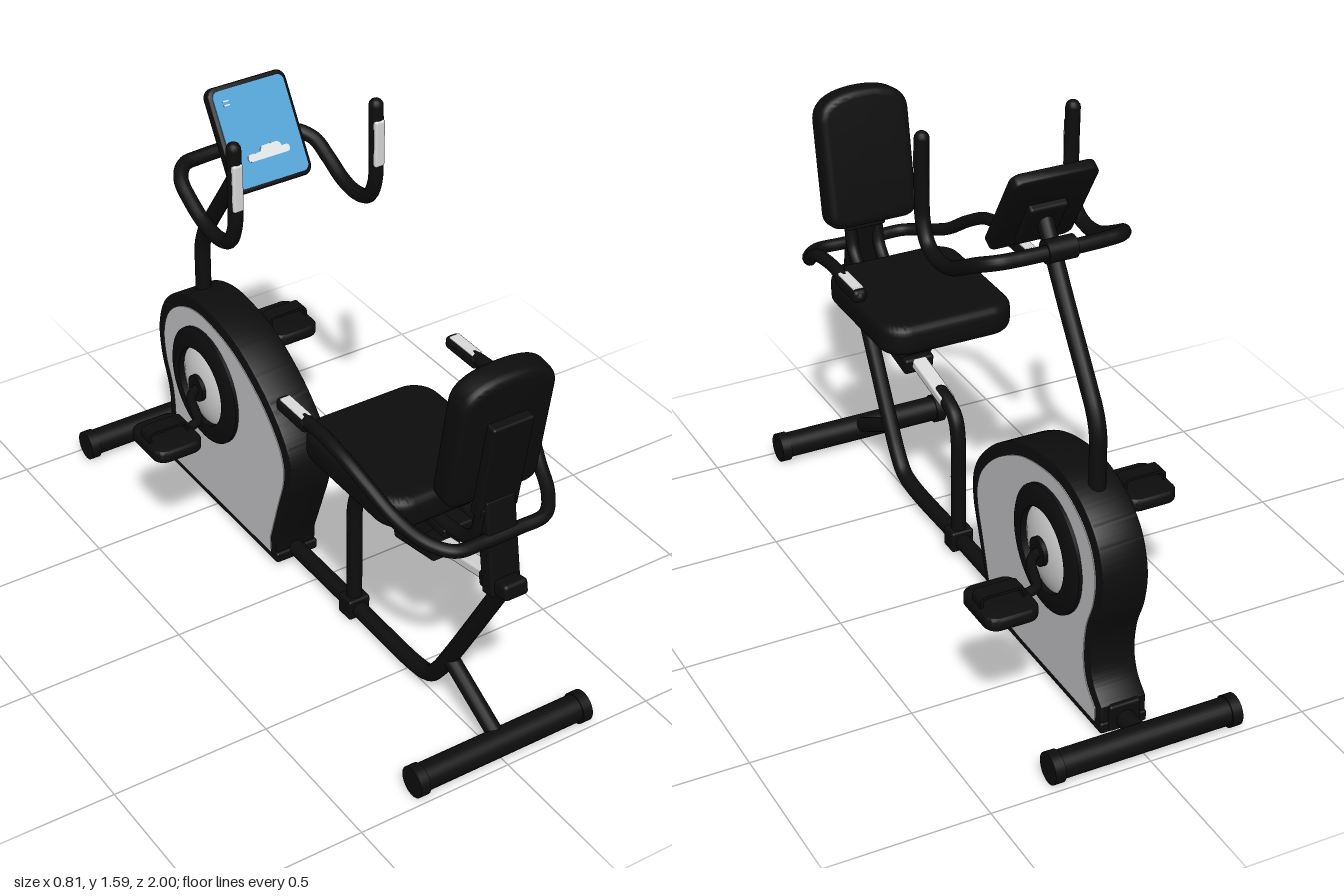
import * as THREE from 'three';
import { toCreasedNormals } from 'three/addons/utils/BufferGeometryUtils.js';
import { RoundedBoxGeometry } from 'three/addons/geometries/RoundedBoxGeometry.js';

const paint = (name, color) => {
  const m = new THREE.MeshStandardMaterial({ color });
  m.name = name;
  return m;
};

export function createModel() {
  const model = new THREE.Group();
  model.name = 'recumbentExerciseBike';
  const black = paint('black', 0x0d0d0d);
  const grey = paint('panelGrey', 0xcbcbce);
  const silver = paint('silver', 0xdcdcdc);
  const blue = paint('screenBlue', 0x52a3d6);
  const white = paint('white', 0xe4e8ea);

  const add = (name, geo, mat, pos = [0, 0, 0], parent = model) => {
    const m = new THREE.Mesh(geo, mat);
    m.name = name;
    m.position.set(...pos);
    parent.add(m);
    return m;
  };
  const box = (name, size, pos, mat = black, r = 0.008, parent = model) =>
    add(name, new RoundedBoxGeometry(...size, 3, r), mat, pos, parent);
  // Cylinder lying along x
  const bar = (name, r, length, pos, parent = model) =>
    add(name, new THREE.CylinderGeometry(r, r, length, 28).rotateZ(Math.PI / 2), black, pos, parent);
  // Round tube through points, with domed ends
  const tube = (name, pts, r, mat = black, parent = model) => {
    const g = new THREE.Group();
    g.name = name;
    parent.add(g);
    const v = pts.map(p => new THREE.Vector3(...p));
    const curve = new THREE.CatmullRomCurve3(v, false, 'centripetal');
    add(name + 'Pipe', new THREE.TubeGeometry(curve, v.length * 10, r, 14), mat, [0, 0, 0], g);
    for (const p of [v[0], v[v.length - 1]])
      add(name + 'End', new THREE.SphereGeometry(r, 14, 8), mat, p.toArray(), g);
    return g;
  };
  const roundRect = (w, h, r) => {
    const s = new THREE.Shape(), x = w / 2, y = h / 2;
    s.absarc(x - r, y - r, r, 0, Math.PI / 2);
    s.absarc(-x + r, y - r, r, Math.PI / 2, Math.PI);
    s.absarc(-x + r, -y + r, r, Math.PI, Math.PI * 1.5);
    s.absarc(x - r, -y + r, r, Math.PI * 1.5, Math.PI * 2);
    return s;
  };
  // Extrusion centred in depth, with soft edges
  const slab = (shape, depth, bevel = 0) => {
    const geo = new THREE.ExtrudeGeometry(shape, {
      depth: depth - 2 * bevel, curveSegments: 16, bevelEnabled: bevel > 0,
      bevelSize: bevel, bevelThickness: bevel, bevelOffset: -bevel, bevelSegments: 5
    }).translate(0, 0, -depth / 2 + bevel);
    return toCreasedNormals(geo, 0.7);
  };

  // Floor stabilisers with end caps
  for (const z of [0.953, -0.953]) {
    bar('stabilizer', 0.042, 0.56, [0, 0.05, z]);
    for (const s of [-1, 1]) bar('stabilizerCap', 0.048, 0.032, [s * 0.284, 0.048, z]);
  }

  // Main frame
  tube('mainFrame', [[0, 0.042, -0.15], [0, 0.042, 0.2], [0, 0.042, 0.54], [0, 0.06, 0.61], [0, 0.11, 0.655],
    [0, 0.2, 0.71], [0, 0.6, 0.935]], 0.026);
  tube('rearStrut', [[0, 0.06, 0.95], [0, 0.185, 0.71]], 0.025);
  box('frameSleeve', [0.075, 0.07, 0.065], [0, 0.045, 0.205]);
  tube('railPost', [[0, 0.05, 0.205], [0, 0.25, 0.205], [0, 0.41, 0.205], [0, 0.47, 0.225], [0, 0.498, 0.275],
    [0, 0.508, 0.32]], 0.024);
  const rail = new THREE.Group();
  rail.name = 'seatRail';
  rail.position.set(0, 0.558, 0.59);
  rail.rotation.x = -0.185;
  model.add(rail);
  box('railBar', [0.05, 0.032, 0.64], [0, 0, 0], silver, 0.008, rail);
  box('railSlider', [0.1, 0.055, 0.2], [0, -0.01, -0.02], black, 0.01, rail);
  box('railClamp', [0.08, 0.05, 0.13], [0, 0, 0.35], black, 0.012, rail);

  // Shroud: dark shell with light side panels, profile as (-z, y)
  const profile = (start, curve, end) => {
    const s = new THREE.Shape();
    s.moveTo(...start);
    s.lineTo(...curve[0]);
    s.splineThru(curve.slice(1).map(p => new THREE.Vector2(...p)));
    s.lineTo(...end);
    s.closePath();
    return s;
  };
  const outer = profile([0.13, 0.02], [[0.125, 0.1], [0.075, 0.24], [0.04, 0.35], [0.042, 0.44], [0.09, 0.525],
    [0.2, 0.625], [0.36, 0.71], [0.55, 0.742], [0.69, 0.71], [0.79, 0.63], [0.832, 0.52], [0.822, 0.41],
    [0.785, 0.31], [0.775, 0.22], [0.795, 0.15], [0.842, 0.1]], [0.842, 0.02]);
  const inner = profile([0.155, 0.035], [[0.158, 0.09], [0.112, 0.24], [0.078, 0.35], [0.08, 0.425], [0.122, 0.5],
    [0.22, 0.59], [0.37, 0.67], [0.55, 0.7], [0.67, 0.672], [0.756, 0.605], [0.793, 0.515], [0.785, 0.42],
    [0.748, 0.32], [0.738, 0.21], [0.758, 0.135], [0.81, 0.08]], [0.81, 0.035]);
  add('shroud', slab(outer, 0.144, 0.006).rotateY(Math.PI / 2), black);
  for (const s of [-1, 1])
    add('sidePanel', slab(inner, 0.006).rotateY(Math.PI / 2), grey, [s * 0.072, 0, 0]);
  box('shroudBase', [0.15, 0.036, 0.73], [0, 0.03, -0.482]);
  box('frontBracket', [0.1, 0.085, 0.04], [0, 0.06, -0.835]);
  tube('frontConnector', [[0, 0.05, -0.83], [0, 0.05, -0.94]], 0.03);

  // Drive discs, cranks and pedals; the second side is turned half a revolution
  const lathe = pts => toCreasedNormals(
    new THREE.LatheGeometry(pts.map(p => new THREE.Vector2(...p)), 48).rotateZ(-Math.PI / 2), 0.6);
  for (const turn of [0, Math.PI]) {
    const g = new THREE.Group();
    g.name = turn ? 'rightDrive' : 'leftDrive';
    g.position.set(0, 0.455, -0.53);
    g.rotation.y = turn;
    model.add(g);
    add('driveRing', lathe([[0.194, 0.06], [0.194, 0.086], [0.185, 0.092], [0.14, 0.102], [0.13, 0.1], [0.13, 0.07]]), black, [0, 0, 0], g);
    add('driveDisc', lathe([[0.132, 0.08], [0.11, 0.089], [0.08, 0.097], [0.04, 0.103], [0, 0.104]]), silver, [0, 0, 0], g);
    bar('crankHub', 0.044, 0.06, [0.086, 0, 0], g);
    tube('crankArm', [[0.105, 0, 0], [0.135, 0, -0.015], [0.16, 0, -0.05], [0.18, 0, -0.11], [0.2, 0, -0.155],
      [0.25, 0, -0.175]], 0.015, black, g);
    add('pedal', slab(roundRect(0.165, 0.19, 0.04), 0.042, 0.01).rotateX(Math.PI / 2), black, [0.32, -0.005, -0.175], g);
    const strap = roundRect(0.14, 0.06, 0.018);
    strap.holes.push(roundRect(0.122, 0.042, 0.01));
    add('pedalStrap', slab(strap, 0.05), black, [0.325, 0.02, -0.175], g);
  }

  // Mast and handlebar
  tube('mast', [[0, 0.68, -0.662], [0, 0.8, -0.662], [0, 0.88, -0.66], [0, 0.94, -0.64], [0, 1.0, -0.602],
    [0, 1.2, -0.465], [0, 1.4, -0.335]], 0.025);
  const half = [[0.13, 1.34, -0.43], [0.19, 1.338, -0.42], [0.228, 1.32, -0.375], [0.236, 1.285, -0.31],
    [0.236, 1.248, -0.23], [0.236, 1.238, -0.16], [0.236, 1.258, -0.095], [0.236, 1.32, -0.062],
    [0.236, 1.42, -0.058], [0.236, 1.57, -0.062]];
  const flip = p => [-p[0], p[1], p[2]];
  tube('handlebar', [...half.map(flip).reverse(), ...half], 0.022);
  for (const s of [-1, 1])
    box('gripSensor', [0.034, 0.15, 0.03], [s * 0.236, 1.455, -0.05], silver);
  bar('handlebarClamp', 0.034, 0.09, [0, 1.34, -0.425]);
  tube('clampNeck', [[0, 1.335, -0.43], [0, 1.335, -0.37]], 0.025);

  // Console with screen
  const con = new THREE.Group();
  con.name = 'console';
  con.position.set(0.003, 1.43, -0.325);
  con.rotation.x = -0.55;
  model.add(con);
  add('consoleCase', slab(roundRect(0.262, 0.318, 0.03), 0.036, 0.006), black, [0, 0, 0], con);
  box('consoleMount', [0.12, 0.16, 0.03], [0, -0.04, -0.025], black, 0.01, con);
  add('screen', slab(roundRect(0.238, 0.29, 0.02), 0.004), blue, [0, 0, 0.019], con);
  const flat = (name, w, h, r, x, y) =>
    add(name, slab(roundRect(w, h, r), 0.003), white, [x, y, 0.0215], con);
  flat('cloudBase', 0.14, 0.022, 0.01, 0.005, -0.066);
  flat('cloudPuff', 0.07, 0.034, 0.015, 0.015, -0.056);
  for (const y of [0.1, 0.112]) flat('screenMark', 0.02, 0.004, 0.001, -0.082, y);

  // Seat and its support
  add('seatCushion', slab(roundRect(0.44, 0.49, 0.085), 0.1, 0.03).rotateX(-Math.PI / 2), black, [0, 0.765, 0.467]);
  box('seatPan', [0.36, 0.03, 0.36], [0, 0.712, 0.5]);
  box('seatBracket', [0.14, 0.03, 0.4], [0, 0.69, 0.55]);
  box('seatPedestal', [0.11, 0.16, 0.1], [0, 0.63, 0.545]);
  for (const x of [-0.045, 0.045])
    tube('seatLink', [[x, 0.705, 0.6], [x, 0.708, 0.76], [x, 0.725, 0.82], [x, 0.77, 0.865], [x, 0.86, 0.885]], 0.02);

  // Backrest
  const back = roundRect(0.305, 0.44, 0.05);
  back.curves.length = 0;
  back.moveTo(-0.1, -0.22);
  back.lineTo(0.1, -0.22);
  back.quadraticCurveTo(0.152, -0.22, 0.152, -0.17);
  back.lineTo(0.152, 0.13);
  back.bezierCurveTo(0.152, 0.19, 0.1, 0.222, 0, 0.222);
  back.bezierCurveTo(-0.1, 0.222, -0.152, 0.19, -0.152, 0.13);
  back.lineTo(-0.152, -0.17);
  back.quadraticCurveTo(-0.152, -0.22, -0.1, -0.22);
  add('backrestCushion', slab(back, 0.09, 0.025), black, [0, 1.095, 0.863]).rotation.x = 0.17;
  box('backrestSpine', [0.135, 0.33, 0.04], [0, 1.0, 0.903]).rotation.x = 0.17;
  box('backrestPost', [0.1, 0.3, 0.05], [0, 0.74, 0.905]).rotation.x = -0.16;

  // Seat side handles
  const arm = [[0.06, 0.772, 0.915], [0.15, 0.775, 0.91], [0.205, 0.79, 0.85], [0.24, 0.825, 0.76],
    [0.268, 0.885, 0.67], [0.285, 0.93, 0.58], [0.288, 0.948, 0.47], [0.288, 0.942, 0.37], [0.288, 0.935, 0.275]];
  tube('seatHandles', [...arm.map(flip).reverse(), ...arm], 0.02);
  for (const s of [-1, 1]) {
    box('seatGrip', [0.046, 0.042, 0.15], [s * 0.288, 0.937, 0.335], black, 0.015);
    box('seatGripSensor', [0.034, 0.008, 0.115], [s * 0.288, 0.958, 0.335], silver, 0.003);
  }
  return model;
}
